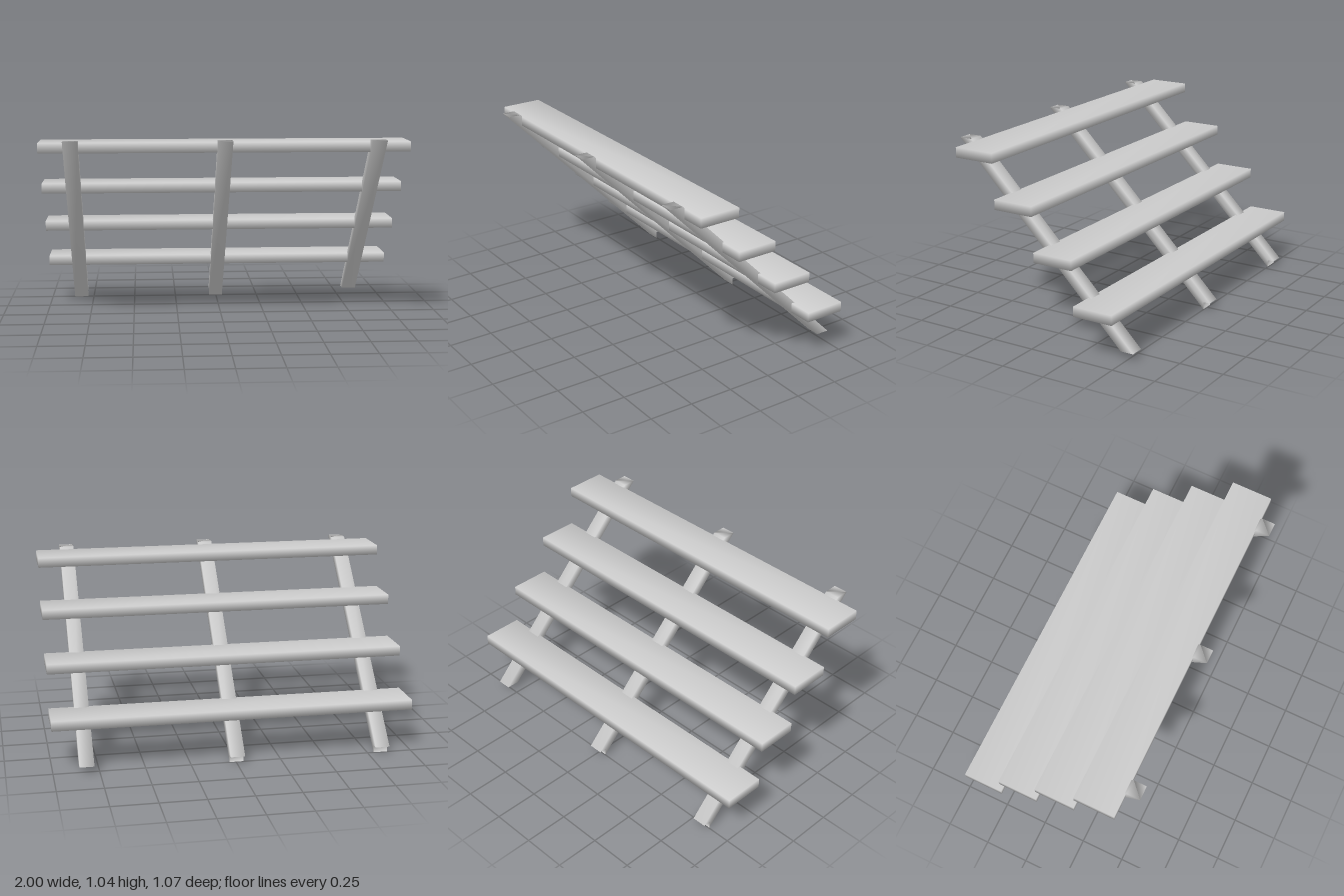
import * as THREE from 'three';
import { mergeVertices } from 'three/addons/utils/BufferGeometryUtils.js';

const material = new THREE.MeshStandardMaterial({ color: 0xcccccc });

// Weld corners so the shading runs smoothly around each beam
function smooth(geometry) {
  geometry.deleteAttribute('normal');
  geometry.deleteAttribute('uv');
  const welded = mergeVertices(geometry, 1e-4);
  welded.computeVertexNormals();
  return welded;
}

function part(name, geometry) {
  const mesh = new THREE.Mesh(smooth(geometry), material);
  mesh.name = name;
  return mesh;
}

// Slanted beam from a (z, y) side profile, centred on x
function stringer(name, x, profile, width = 0.08) {
  const shape = new THREE.Shape(profile.map(([z, y]) => new THREE.Vector2(z, y)));
  const geometry = new THREE.ExtrudeGeometry(shape, { depth: width, bevelEnabled: false });
  geometry.translate(0, 0, -width / 2).rotateY(-Math.PI / 2);
  const mesh = part(name, geometry);
  mesh.position.x = x;
  return mesh;
}

export function createModel() {
  const group = new THREE.Group();
  group.name = 'openStaircase';

  // Stringers: the left one ends flat, the other two have a stepped foot
  const top = [[0.537, 1.042], [0.463, 1.042], [-0.537, 0.042]];
  const flatEnd = [...top, [-0.463, 0.042]];
  const steppedEnd = [...top, [-0.497, 0.042], [-0.497, 0]];
  group.add(
    stringer('leftStringer', 0.82, flatEnd),
    stringer('middleStringer', -0.003, steppedEnd),
    stringer('rightStringer', -0.825, steppedEnd)
  );

  // Treads, bottom to top, rising toward the front
  for (let i = 0; i < 4; i++) {
    const tread = part('tread' + (i + 1), new THREE.BoxGeometry(2, 0.055, 0.232));
    tread.position.set(0, 0.267 + i * 0.245, -0.381 + i * 0.24);
    group.add(tread);
  }
  return group;
}
